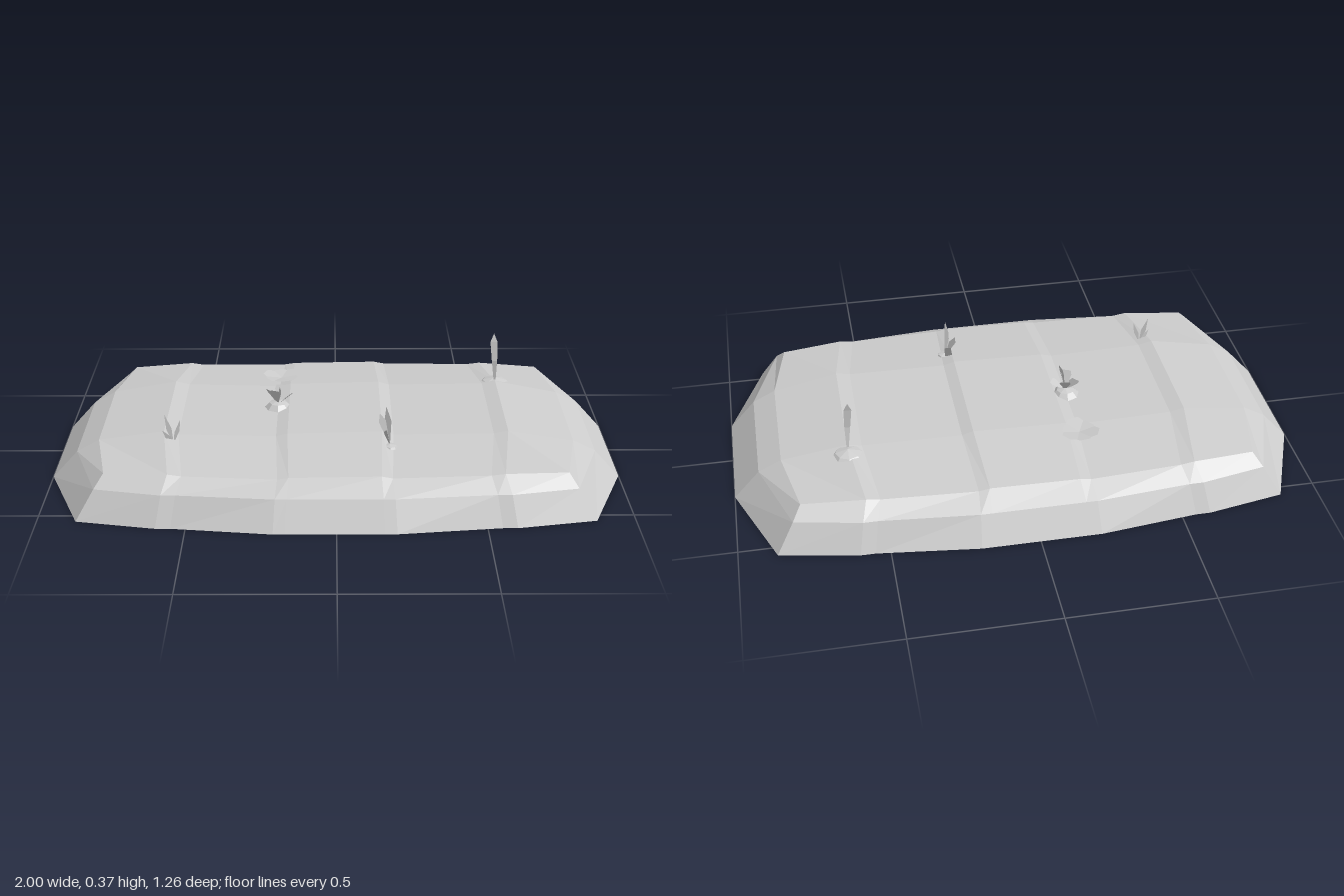
import * as THREE from 'three';

const grey = new THREE.MeshStandardMaterial({ name: 'grey', color: 0xcccccc });
grey.flatShading = true;
grey.side = THREE.DoubleSide;

// Collects quads and triangles into a flat-shaded mesh.
function facesMesh(name, faces) {
  const pos = [];
  for (const f of faces)
    for (let i = 1; i < f.length - 1; i++) pos.push(...f[0], ...f[i], ...f[i + 1]);
  const geo = new THREE.BufferGeometry();
  geo.setAttribute('position', new THREE.Float32BufferAttribute(pos, 3));
  geo.computeVertexNormals();
  const mesh = new THREE.Mesh(geo, grey);
  mesh.name = name;
  return mesh;
}

// Raised soil bed: stepped top panels, then two sloping rings down to the ground.
function soilBed() {
  const cols = [-1, -0.6, -0.55, -0.21, -0.17, 0.16, 0.2, 0.55, 0.6, 1];
  const tops = [0.145, 0.182, 0.17, 0.162, 0.172, 0.18, 0.168, 0.172, 0.182, 0.14];
  // Outline per level: base, lower edge, shoulder
  const levels = [
    { y: 0, end: 1, corner: [0.87, 0.54], sx: 1, z: [0.63, 0.59] },
    { y: 0.1, end: 0.91, corner: [0.81, 0.5], sx: 0.97, z: [0.575, 0.545] },
    { y: 0.14, end: 0.83, corner: [0.78, 0.46], sx: 0.94, z: [0.5, 0.485] },
  ];
  const node = (level, c, row) => {
    const L = levels[level], x = cols[c], s = Math.sign(x), isEnd = Math.abs(x) === 1;
    const isEdge = row === 0 || row === 3;
    const zs = row < 2 ? -1 : 1;
    if (isEdge) {
      const y = level === 2 ? 0.14 + (tops[c] - 0.17) * (isEnd ? 0 : 0.6) : L.y;
      return isEnd ? [s * L.corner[0], y, zs * L.corner[1]]
        : [x * L.sx, y, zs * L.z[Math.abs(x) > 0.4 ? 1 : 0]];
    }
    if (isEnd) return [s * L.end, level === 2 ? tops[c] : L.y, zs * 0.21];
    return [x, tops[c], zs * 0.22];
  };
  const faces = [];
  for (let c = 0; c < 9; c++)
    for (let r = 0; r < 3; r++)
      faces.push([node(2, c, r), node(2, c, r + 1), node(2, c + 1, r + 1), node(2, c + 1, r)]);
  // Walk the outline once and join neighbouring rings
  const rim = [];
  for (let c = 0; c < 9; c++) rim.push([c, 3]);
  for (let r = 3; r > 0; r--) rim.push([9, r]);
  for (let c = 9; c > 0; c--) rim.push([c, 0]);
  for (let r = 0; r < 3; r++) rim.push([0, r]);
  rim.forEach((a, i) => {
    const b = rim[(i + 1) % rim.length];
    for (let l = 0; l < 2; l++)
      faces.push([node(l, ...a), node(l, ...b), node(l + 1, ...b), node(l + 1, ...a)]);
  });
  return facesMesh('soilBed', faces);
}

// Thin leaf from base to tip; side is the half-width vector.
function leaf(name, base, tip, side, widest = 0.65, blunt = 0) {
  const b = new THREE.Vector3(...base), t = new THREE.Vector3(...tip), s = new THREE.Vector3(...side);
  const mid = b.clone().lerp(t, widest);
  const at = (p, k) => p.clone().addScaledVector(s, k).toArray();
  return facesMesh(name, [[base, at(mid, 1), at(t, blunt), at(t, -blunt), at(mid, -1)]]);
}

// Root vegetable turned from a short profile.
function root(name, profile, x, z, sides = 8) {
  const geo = new THREE.LatheGeometry(profile.map(p => new THREE.Vector2(...p)), sides);
  const mesh = new THREE.Mesh(geo, grey);
  mesh.name = name;
  mesh.position.set(x, 0, z);
  return mesh;
}

const ball = (r, y) => Array.from({ length: 7 }, (_, i) => {
  const a = -Math.PI / 2 + (i / 6) * Math.PI;
  return [Math.max(0, r * Math.cos(a)), y + r * Math.sin(a)];
});

export function createModel() {
  const model = new THREE.Group();
  model.name = 'vegetablePatch';
  model.add(soilBed());

  // Large bulb with one tall curved blade
  model.add(root('largeBulb', ball(0.088, 0.098), 0.6, -0.25));
  model.add(facesMesh('tallBlade', [
    [[0.597, 0.17, -0.235], [0.603, 0.17, -0.235], [0.605, 0.26, -0.226], [0.585, 0.26, -0.226]],
    [[0.585, 0.26, -0.226], [0.605, 0.26, -0.226], [0.604, 0.335, -0.232], [0.577, 0.335, -0.232]],
    [[0.577, 0.335, -0.232], [0.604, 0.335, -0.232], [0.59, 0.367, -0.238]],
  ]));

  // Round root with a tuft of blunt leaves
  model.add(root('roundRoot', ball(0.064, 0.125), -0.21, -0.03));
  [[-0.2, 0.25, 0.01, 0.004, 0.02], [-0.245, 0.225, -0.04, 0.012, 0.014], [-0.16, 0.22, -0.02, 0.01, -0.016],
    [-0.2, 0.235, -0.065, 0.02, 0.004], [-0.22, 0.24, 0.005, 0.018, 0.008]].forEach(([x, y, z, sx, sz]) =>
    model.add(leaf('roundRootLeaf', [-0.21, 0.175, -0.025], [x, y, z], [sx, 0, sz], 0.8, 0.8)));

  // Tapered root with three leaves
  model.add(root('taperedRoot', [[0, 0.03], [0.018, 0.06], [0.033, 0.12], [0.034, 0.145], [0.022, 0.165], [0, 0.17]], 0.185, 0.3));
  model.add(leaf('taperedRootLeaf', [0.185, 0.16, 0.29], [0.165, 0.245, 0.355], [0.004, 0.016, 0.025], 0.85, 0.8));
  model.add(leaf('taperedRootLeaf', [0.185, 0.16, 0.29], [0.175, 0.262, 0.19], [0.012, 0.008, 0.012], 0.6));
  model.add(leaf('taperedRootLeaf', [0.185, 0.16, 0.29], [0.15, 0.265, 0.255], [0.012, 0.004, 0], 0.75));

  // Small sprout
  [[-0.592, 0.262], [-0.537, 0.245], [-0.6, 0.205]].forEach(([x, y], i) =>
    model.add(leaf('sproutLeaf', [-0.563, 0.155, 0.262], [x, y, 0.255 + i * 0.005], [0.009, 0.003, 0], 0.5)));

  // Flat rosette lying on the soil
  for (let i = 0; i < 6; i++) {
    const a = (i / 6) * Math.PI * 2 + 0.4, r = 0.058 + 0.01 * (i % 2);
    model.add(leaf('rosetteLeaf', [-0.205, 0.172, -0.28],
      [-0.205 + r * Math.cos(a), 0.18 + 0.005 * (i % 2), -0.28 + r * Math.sin(a)],
      [-0.032 * Math.sin(a), 0, 0.032 * Math.cos(a)], 0.7, 0.6));
  }
  return model;
}
